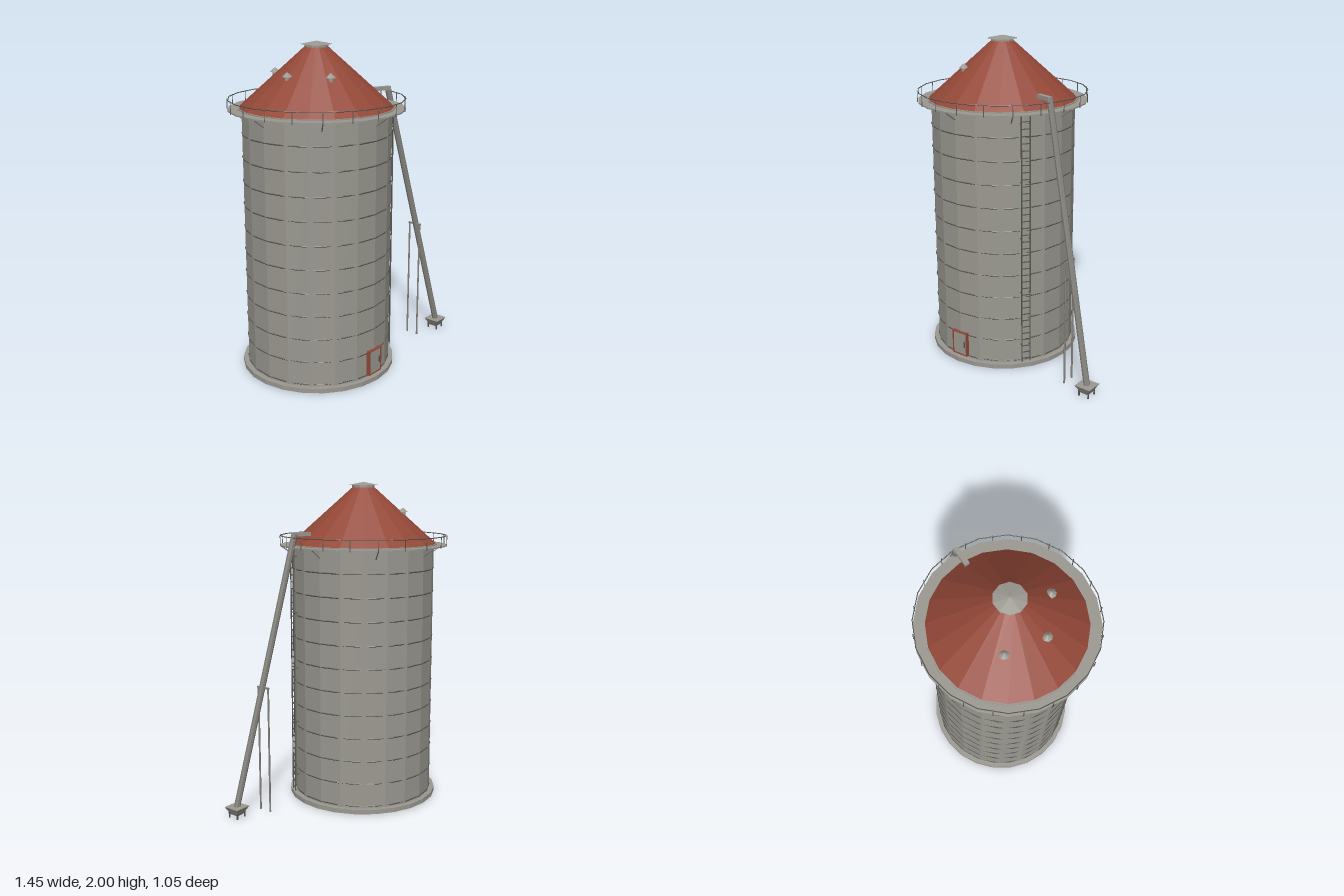
import * as THREE from 'three';

const mat = (name, color) => {
  const m = new THREE.MeshStandardMaterial({ color, flatShading: true });
  m.name = name;
  return m;
};

export function createModel() {
  const steel = mat('galvanised steel', 0x9a9890);
  const red = mat('roof red', 0x944838);
  const dark = mat('dark iron', 0x555550);
  const pipeGrey = mat('pipe grey', 0x85837c);

  const model = new THREE.Group();
  model.name = 'grainSilo';
  const silo = new THREE.Group();
  silo.name = 'silo';
  silo.position.x = -0.2;
  model.add(silo);

  const add = (parent, name, geo, material, x = 0, y = 0, z = 0) => {
    const m = new THREE.Mesh(geo, material);
    m.name = name;
    m.position.set(x, y, z);
    parent.add(m);
    return m;
  };
  // cylinder or cone between two heights
  const drum = (parent, name, rTop, rBottom, y0, y1, sides, material, x = 0, z = 0) =>
    add(parent, name, new THREE.CylinderGeometry(rTop, rBottom, y1 - y0, sides), material, x, (y0 + y1) / 2, z);
  // round bar between two points
  const bar = (parent, name, a, b, r, sides, material) => {
    const dir = b.clone().sub(a);
    const m = add(parent, name, new THREE.CylinderGeometry(r, r, dir.length(), sides), material);
    m.position.copy(a).add(b).multiplyScalar(0.5);
    m.quaternion.setFromUnitVectors(new THREE.Vector3(0, 1, 0), dir.normalize());
    return m;
  };
  const ring = (name, r, tube, segments, y, material) => {
    const m = add(silo, name, new THREE.TorusGeometry(r, tube, 5, segments), material, 0, y, 0);
    m.rotation.x = Math.PI / 2;
  };
  // point around the silo axis, angle from +x towards +z
  const polar = (r, a, y) => new THREE.Vector3(r * Math.cos(a), y, r * Math.sin(a));
  const V = (x, y, z) => new THREE.Vector3(x, y, z);

  // Tank
  drum(silo, 'foundation', 0.475, 0.475, 0, 0.028, 24, steel);
  drum(silo, 'wall', 0.445, 0.445, 0.028, 1.615, 20, steel);
  for (let i = 0; i < 11; i++) ring('hoop', 0.443, 0.004, 24, 0.04 + i * 0.143, dark);

  // Roof with centre cap and vents
  drum(silo, 'eave', 0.466, 0.466, 1.612, 1.622, 20, steel);
  drum(silo, 'roof', 0.07, 0.457, 1.622, 1.967, 20, red);
  drum(silo, 'capNeck', 0.07, 0.07, 1.955, 1.982, 10, steel);
  drum(silo, 'capLid', 0.004, 0.093, 1.982, 2.0, 10, steel);
  for (const deg of [120, 180, 240]) {
    const p = polar(0.248, THREE.MathUtils.degToRad(deg), 0);
    drum(silo, 'ventNeck', 0.015, 0.015, 1.785, 1.82, 8, steel, p.x, p.z);
    drum(silo, 'ventCap', 0.003, 0.03, 1.817, 1.842, 8, steel, p.x, p.z);
  }

  // Walkway, railing and brackets
  const deck = [[0.44, 1.608], [0.525, 1.608], [0.525, 1.616], [0.44, 1.616], [0.44, 1.608]]
    .map(([x, y]) => new THREE.Vector2(x, y));
  add(silo, 'walkway', new THREE.LatheGeometry(deck, 20), steel);
  ring('handrail', 0.523, 0.003, 20, 1.672, dark);
  for (let i = 0; i < 20; i++) {
    const a = ((i + 0.5) * Math.PI) / 10;
    bar(silo, 'railPost', polar(0.524, a, 1.605), polar(0.524, a, 1.673), 0.003, 4, dark);
  }
  for (let i = 0; i < 8; i++) {
    const a = (i * Math.PI) / 4;
    bar(silo, 'bracket', polar(0.44, a, 1.555), polar(0.518, a, 1.608), 0.004, 5, pipeGrey);
  }

  // Door on the front
  const door = new THREE.Group();
  door.name = 'door';
  door.position.set(0, 0.12, 0.447);
  silo.add(door);
  add(door, 'doorPanel', new THREE.BoxGeometry(0.106, 0.146, 0.016), steel);
  for (const s of [-1, 1]) {
    add(door, 'doorJamb', new THREE.BoxGeometry(0.007, 0.155, 0.03), red, s * 0.054, 0, -0.003);
    add(door, 'doorRail', new THREE.BoxGeometry(0.115, 0.007, 0.03), red, 0, s * 0.075, -0.003);
  }
  add(door, 'doorHandle', new THREE.BoxGeometry(0.005, 0.04, 0.01), dark, 0.038, 0, 0.011);

  // Ladder
  const ladder = new THREE.Group();
  ladder.name = 'ladder';
  const la = THREE.MathUtils.degToRad(35);
  ladder.position.copy(polar(0.467, la, 0));
  ladder.rotation.y = Math.PI / 2 - la;
  silo.add(ladder);
  for (const s of [-1, 1]) {
    add(ladder, 'ladderRail', new THREE.BoxGeometry(0.007, 1.57, 0.007), dark, s * 0.026, 0.825, 0);
    for (let i = 0; i < 5; i++)
      add(ladder, 'ladderStandoff', new THREE.BoxGeometry(0.005, 0.005, 0.028), dark, s * 0.026, 0.15 + i * 0.35, -0.013);
  }
  for (let i = 0; i < 36; i++)
    add(ladder, 'rung', new THREE.BoxGeometry(0.052, 0.005, 0.005), dark, 0, 0.06 + i * 0.043, 0);

  // Filling auger: sloping tube and roof spout
  const auger = new THREE.Group();
  auger.name = 'auger';
  model.add(auger);
  bar(auger, 'augerTube', V(0.672, 0.045, 0.317), V(0.275, 1.695, 0.165), 0.019, 8, pipeGrey);
  const spout = add(auger, 'spout', new THREE.BoxGeometry(0.118, 0.024, 0.03), steel, 0.229, 1.692, 0.152);
  spout.rotation.y = -Math.atan2(0.04, 0.11);

  // Intake hopper: square funnel on four feet
  const funnel = new THREE.CylinderGeometry(0.0525 * Math.SQRT2, 0.025 * Math.SQRT2, 0.05, 4);
  funnel.rotateY(Math.PI / 4);
  add(auger, 'hopper', funnel, steel, 0.668, 0.042, 0.315);
  for (const sx of [-1, 1])
    for (const sz of [-1, 1])
      add(auger, 'hopperFoot', new THREE.BoxGeometry(0.008, 0.04, 0.008), dark, 0.668 + sx * 0.032, 0.02, 0.315 + sz * 0.032);

  // Trestle under the tube
  for (const z of [0.208, 0.286]) bar(auger, 'trestleLeg', V(0.487, 0, z), V(0.487, 0.785, z), 0.006, 6, pipeGrey);
  add(auger, 'trestleBeam', new THREE.BoxGeometry(0.01, 0.01, 0.092), pipeGrey, 0.487, 0.782, 0.247);

  return model;
}
